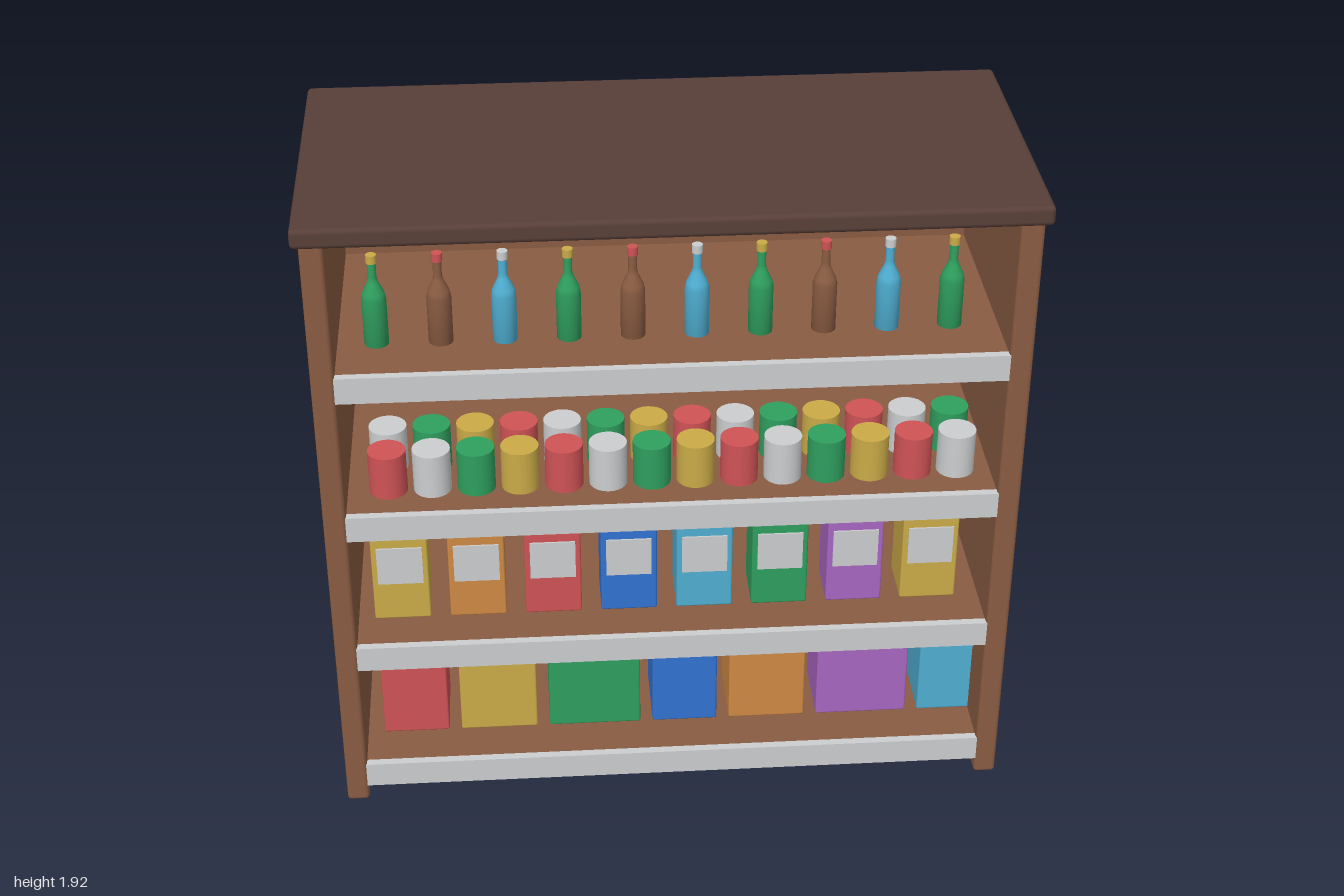
import * as THREE from 'three';
import { RoundedBoxGeometry } from 'three/addons/geometries/RoundedBoxGeometry.js';

const paint = (name, color) => {
  const m = new THREE.MeshStandardMaterial({ color });
  m.name = name;
  return m;
};

export function createModel() {
  const wood = paint('wood', 0x8a5c42);
  const darkWood = paint('dark wood', 0x583f38);
  const grey = paint('light grey', 0xcccecf);
  const red = paint('red', 0xd05356);
  const green = paint('green', 0x2f9f5e);
  const yellow = paint('yellow', 0xcbab48);
  const orange = paint('orange', 0xd08a43);
  const blue = paint('blue', 0x3273d2);
  const cyan = paint('cyan', 0x4faed2);
  const purple = paint('purple', 0xa967c1);

  const root = new THREE.Group();
  root.name = 'stockedShelf';

  const add = (parent, name, geometry, material, x = 0, y = 0, z = 0) => {
    const mesh = new THREE.Mesh(geometry, material);
    mesh.name = name;
    mesh.position.set(x, y, z);
    parent.add(mesh);
    return mesh;
  };
  const group = (name) => {
    const g = new THREE.Group();
    g.name = name;
    root.add(g);
    return g;
  };
  // Box given by its limits on each axis; a radius rounds its edges
  const block = (parent, name, material, [x0, x1], [y0, y1], [z0, z1], radius = 0) => {
    const size = [x1 - x0, y1 - y0, z1 - z0];
    const geometry = radius
      ? new RoundedBoxGeometry(...size, 2, radius)
      : new THREE.BoxGeometry(...size);
    return add(parent, name, geometry, material, (x0 + x1) / 2, (y0 + y1) / 2, (z0 + z1) / 2);
  };

  // Cabinet: thick back, two rounded sides and an overhanging top
  const cabinet = group('cabinet');
  block(cabinet, 'backPanel', wood, [-0.98, 0.98], [0, 1.87], [-0.437, -0.29]);
  block(cabinet, 'leftSide', wood, [0.915, 0.98], [0, 1.87], [-0.32, 0.437], 0.012);
  block(cabinet, 'rightSide', wood, [-0.98, -0.915], [0, 1.87], [-0.32, 0.437], 0.012);
  block(cabinet, 'topBoard', darkWood, [-1, 1], [1.865, 1.922], [-0.457, 0.457], 0.014);

  // Shelves with a grey front rail
  const shelfTops = [0.13, 0.56, 1.013, 1.463];
  const shelves = group('shelves');
  for (const top of shelfTops) {
    block(shelves, 'shelfBoard', wood, [-0.92, 0.92], [top - 0.076, top], [-0.3, 0.41]);
    block(shelves, 'shelfRail', grey, [-0.918, 0.918], [top - 0.078, top + 0.001], [0.41, 0.434]);
  }

  // Bottom shelf: large cartons in three repeating widths and two heights
  const cartons = group('cartons');
  const widths = [0.195, 0.23, 0.275];
  let left = -0.865;
  [red, yellow, green, blue, orange, purple, cyan].forEach((color, i) => {
    const w = widths[i % 3];
    const h = i % 2 ? 0.3 : 0.268;
    block(cartons, 'carton', color, [left, left + w],
      [shelfTops[0], shelfTops[0] + h], [0.06, 0.283], 0.006);
    left += w + 0.037;
  });

  // Second shelf: labelled packets
  const packets = group('packets');
  [yellow, orange, red, blue, cyan, green, purple, yellow].forEach((color, i) => {
    const x = -0.785 + i * 0.221;
    const y = shelfTops[1];
    block(packets, 'packet', color, [x - 0.082, x + 0.082], [y, y + 0.29], [0.13, 0.29], 0.006);
    block(packets, 'packetLabel', grey, [x - 0.066, x + 0.066], [y + 0.127, y + 0.25], [0.288, 0.295]);
  });

  // Third shelf: two rows of cans, the back row one colour ahead
  const cans = group('cans');
  const canColors = [red, grey, green, yellow];
  const canGeometry = new THREE.CylinderGeometry(0.054, 0.054, 0.132, 24);
  for (let row = 0; row < 2; row++) {
    for (let i = 0; i < 14; i++) {
      add(cans, 'can', canGeometry, canColors[(i + row) % 4],
        -0.8 + i * 0.1243, shelfTops[2] + 0.066, 0.29 - row * 0.13);
    }
  }

  // Top shelf: bottles with coloured caps
  const bottles = group('bottles');
  const profile = [[0, 0], [0.034, 0], [0.034, 0.14], [0.03, 0.158], [0.015, 0.19], [0.012, 0.205], [0.012, 0.255]]
    .map(([r, y]) => new THREE.Vector2(r, y));
  const bottleGeometry = new THREE.LatheGeometry(profile, 20);
  const capGeometry = new THREE.CylinderGeometry(0.015, 0.015, 0.024, 16);
  const bottleKinds = [[green, yellow], [wood, red], [cyan, grey]];
  for (let i = 0; i < 10; i++) {
    const [glass, cap] = bottleKinds[i % 3];
    const x = -0.807 + i * 0.1763;
    add(bottles, 'bottle', bottleGeometry, glass, x, shelfTops[3], 0.24);
    add(bottles, 'bottleCap', capGeometry, cap, x, shelfTops[3] + 0.26, 0.24);
  }

  return root;
}
